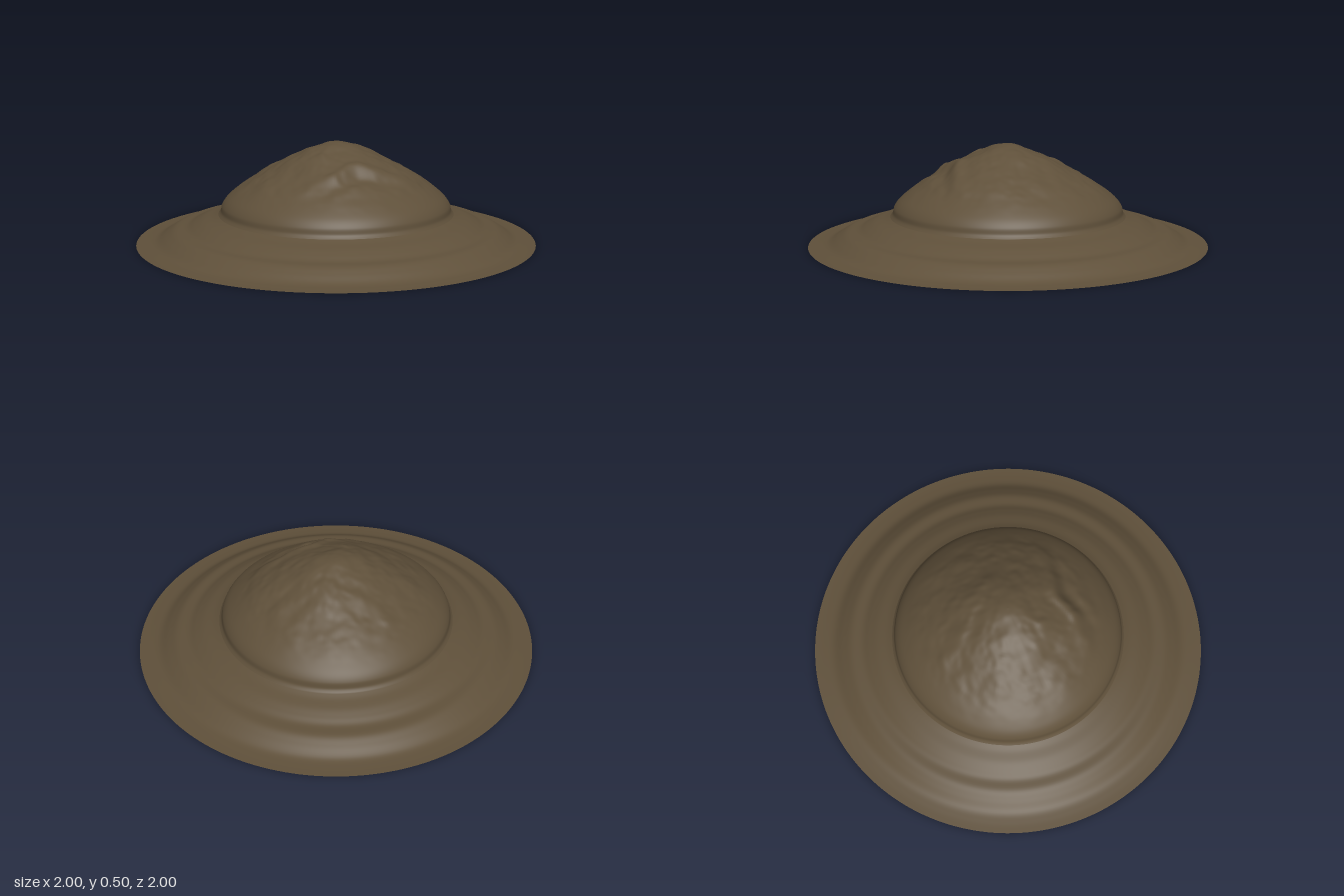
import * as THREE from 'three';
import { mergeVertices } from 'three/addons/utils/BufferGeometryUtils.js';

// Repeatable lattice values, smoothly interpolated
const hash = (i, j) => {
  const s = Math.sin(i * 127.1 + j * 311.7) * 43758.5453;
  return (s - Math.floor(s)) * 2 - 1;
};
function noise(x, z) {
  const i = Math.floor(x), j = Math.floor(z);
  const u = THREE.MathUtils.smoothstep(x - i, 0, 1);
  const v = THREE.MathUtils.smoothstep(z - j, 0, 1);
  const { lerp } = THREE.MathUtils;
  return lerp(lerp(hash(i, j), hash(i + 1, j), u), lerp(hash(i, j + 1), hash(i + 1, j + 1), u), v);
}

// Smooth curve through [radius, height] pairs
const curve = (pairs, steps) =>
  new THREE.SplineCurve(pairs.map(([r, y]) => new THREE.Vector2(r, y))).getPoints(steps);

// Uneven rock surface, fading out toward the foot of the dome
function roughness(x, z) {
  const r = Math.hypot(x, z);
  const mask = 1 - THREE.MathUtils.smoothstep(r, 0.36, 0.56);
  const fade = mask * THREE.MathUtils.smoothstep(r, 0, 0.12);
  const bumps = 0.009 * noise(x * 7 + 3, z * 7) + 0.005 * noise(x * 16, z * 16 + 5) + 0.0025 * noise(x * 34, z * 34);
  // Ledge across the front slope
  const d = z - 0.31 - 0.03 * noise(x * 8, 2);
  const across = Math.exp(-((x / 0.2) ** 2));
  const ledge = across * (0.02 * Math.exp(-(((d + 0.03) / 0.035) ** 2)) - 0.016 * Math.exp(-(((d - 0.035) / 0.035) ** 2)));
  return fade * bumps + mask * ledge;
}

export function createModel() {
  const group = new THREE.Group();
  group.name = 'moundIsland';
  const material = new THREE.MeshStandardMaterial({ color: 0x5f503a, roughness: 1, side: THREE.DoubleSide });

  // Stepped skirt, then the steep foot and the dome, as one open shell
  const skirt = curve([[1, 0], [0.95, 0.003], [0.9, 0.012], [0.85, 0.043], [0.805, 0.067], [0.75, 0.075],
    [0.71, 0.094], [0.67, 0.112], [0.62, 0.127], [0.59, 0.14]], 50);
  const dome = curve([[0.59, 0.14], [0.578, 0.157], [0.57, 0.188], [0.545, 0.222], [0.5, 0.26], [0.45, 0.295], [0.4, 0.329],
    [0.31, 0.38], [0.2, 0.437], [0.1, 0.477], [0.04, 0.497], [0, 0.502]], 110);
  dome[dome.length - 1].x = 0;
  let geometry = new THREE.LatheGeometry([...skirt, ...dome.slice(1)], 180);

  const pos = geometry.attributes.position;
  for (let i = 0; i < pos.count; i++) {
    pos.setY(i, Math.max(0, pos.getY(i) + roughness(pos.getX(i), pos.getZ(i))));
  }
  // Join the seam so the shading stays continuous
  geometry.deleteAttribute('uv');
  geometry.deleteAttribute('normal');
  geometry = mergeVertices(geometry, 1e-5);
  geometry.computeVertexNormals();

  const mound = new THREE.Mesh(geometry, material);
  mound.name = 'mound';
  group.add(mound);
  return group;
}
